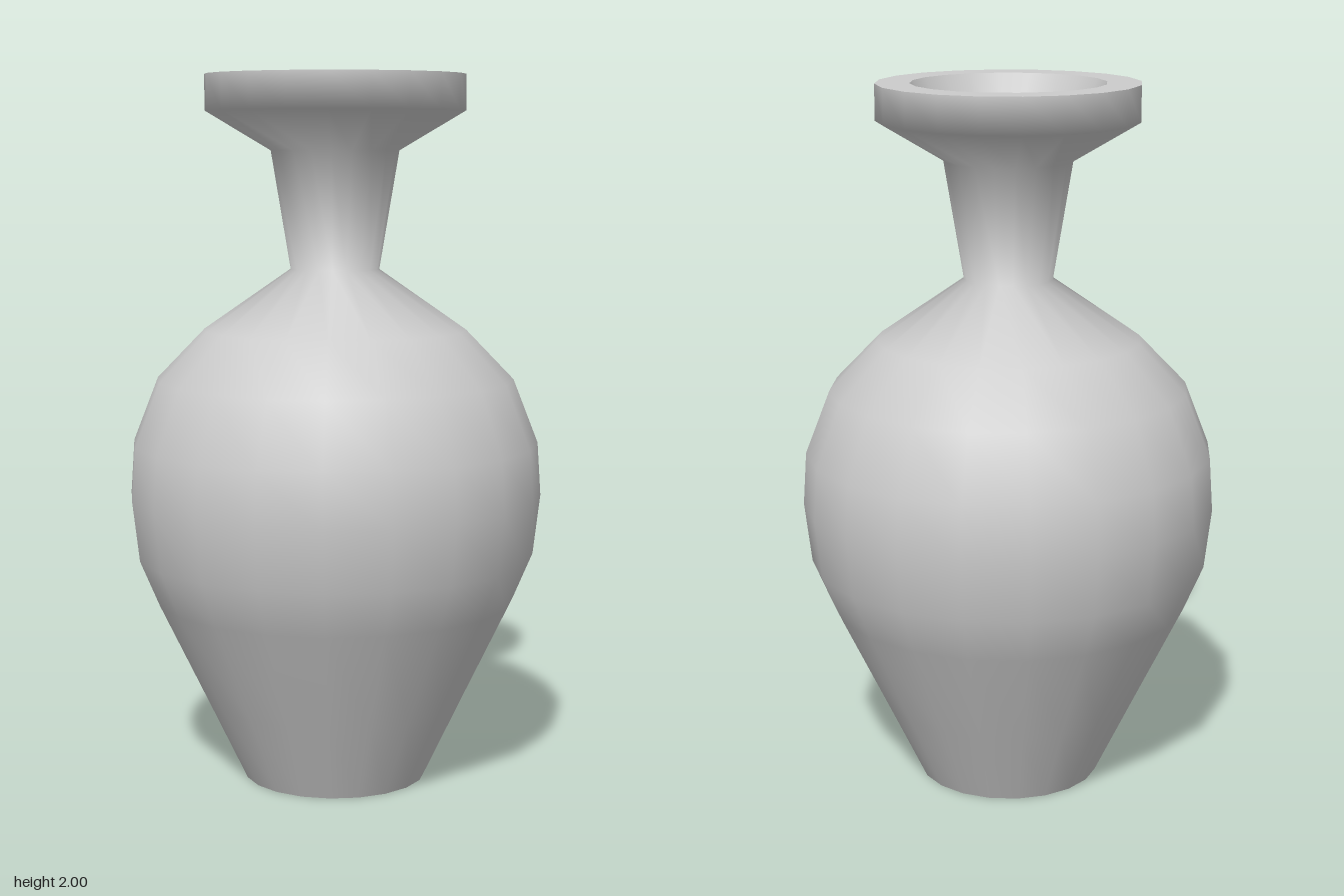
import * as THREE from 'three';

const SIDES = 20;

export function createModel() {
  const vase = new THREE.Group();
  vase.name = 'vase';
  const material = new THREE.MeshStandardMaterial({ color: 0xcccccc });

  // Revolve a [radius, height] profile; separate sections keep sharp edges between them
  const addSection = (name, profile) => {
    const points = profile.map(([r, y]) => new THREE.Vector2(r, y));
    const mesh = new THREE.Mesh(new THREE.LatheGeometry(points, SIDES), material);
    mesh.name = name;
    vase.add(mesh);
  };

  // Flat foot
  addSection('base', [[0, 0], [0.26, 0]]);

  // Belly, shoulder, flared neck and cup-shaped mouth
  addSection('body', [
    [0.26, 0], [0.37, 0.23], [0.51, 0.52], [0.565, 0.65], [0.585, 0.82],
    [0.575, 0.97], [0.505, 1.15], [0.37, 1.29], [0.125, 1.46],
    [0.18, 1.79], [0.365, 1.9], [0.365, 2],
  ]);

  // Flat ring on top
  addSection('rim', [[0.365, 2], [0.27, 2]]);

  // Conical hollow running down into the neck
  addSection('hollow', [[0.27, 2], [0, 1.45]]);

  return vase;
}
